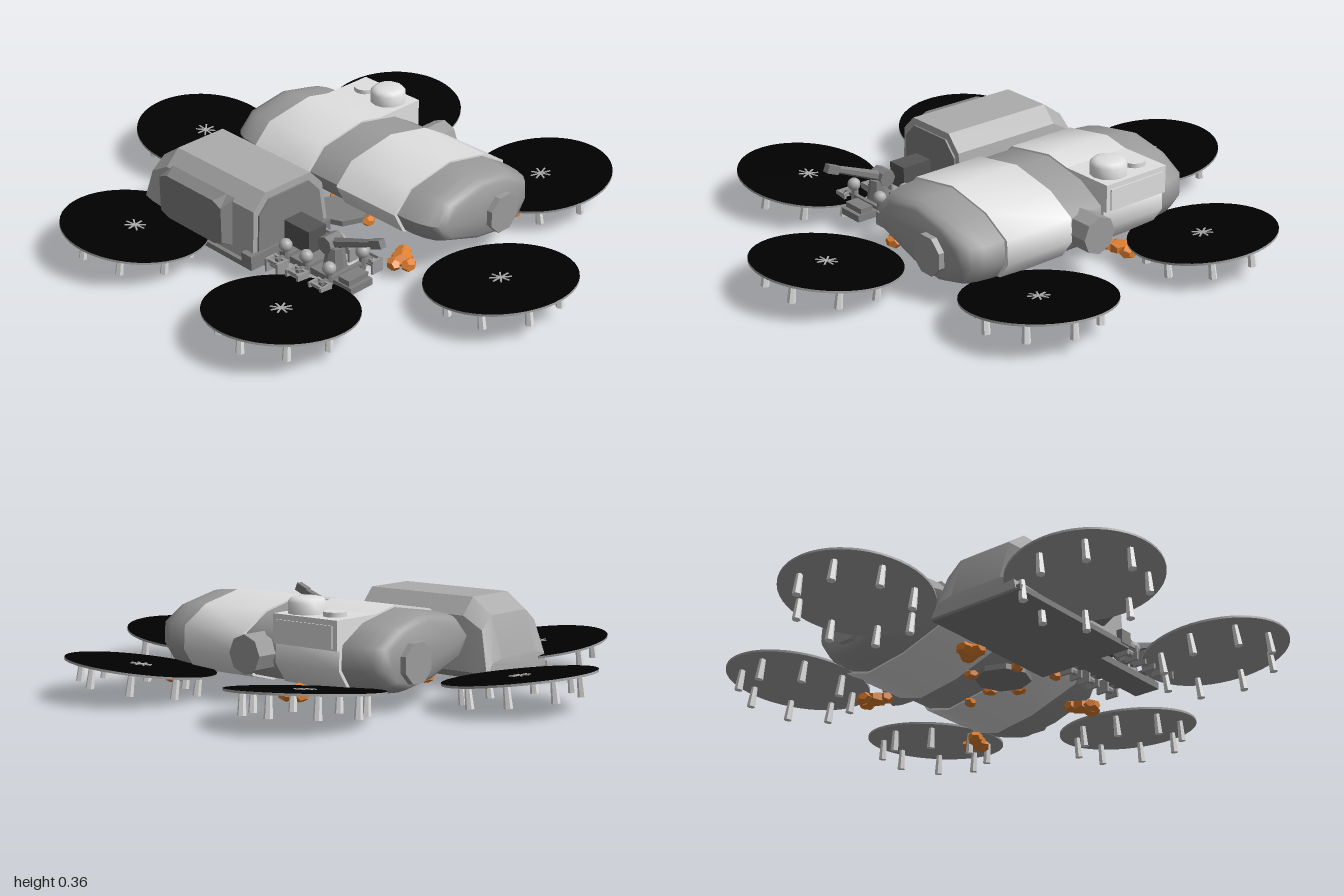
import * as THREE from 'three';
import { toCreasedNormals } from 'three/addons/utils/BufferGeometryUtils.js';

const mat = (name, color, flatShading = false) => {
  const m = new THREE.MeshStandardMaterial({ color, flatShading });
  m.name = name;
  return m;
};

// Joins rings of equal length (clockwise seen from +z, z rising) and closes both ends
function loft(rings, crease) {
  const n = rings[0].length, pos = [], index = [];
  rings.forEach(r => r.forEach(p => pos.push(...p)));
  for (let i = 0; i < rings.length - 1; i++)
    for (let j = 0; j < n; j++) {
      const a = i * n + j, b = i * n + (j + 1) % n, c = a + n, d = b + n;
      index.push(a, c, b, b, c, d);
    }
  const last = (rings.length - 1) * n;
  for (let j = 1; j < n - 1; j++) {
    index.push(0, j, j + 1);
    index.push(last, last + j + 1, last + j);
  }
  const g = new THREE.BufferGeometry();
  g.setAttribute('position', new THREE.Float32BufferAttribute(pos, 3));
  g.setIndex(index);
  return toCreasedNormals(g, crease);
}

export function createModel() {
  const model = new THREE.Group();
  const light = mat('light grey', 0xe0e0e0), body = mat('hull grey', 0x9c9c9c);
  const cabGrey = mat('cab grey', 0xacacac), panel = mat('panel grey', 0x808080);
  const dark = mat('dark grey', 0x555555), black = mat('black', 0x000000);
  const padGrey = mat('pad underside grey', 0xa4a4a4);
  const orange = mat('orange', 0xe08030, true);

  const add = (parent, name, geo, material, x = 0, y = 0, z = 0, rx = 0, ry = 0, rz = 0) => {
    const m = new THREE.Mesh(geo, material);
    m.name = name;
    m.position.set(x, y, z);
    m.rotation.set(rx, ry, rz);
    parent.add(m);
    return m;
  };
  const part = name => {
    const g = new THREE.Group();
    g.name = name;
    model.add(g);
    return g;
  };
  const box = (w, h, d) => new THREE.BoxGeometry(w, h, d);
  const cyl = (r1, r2, h, n) => toCreasedNormals(new THREE.CylinderGeometry(r1, r2, h, n), 0.5);

  // Hull: lopsided oval section, rounded at both ends
  const oval = [[-0.08, 0.23], [-0.01, 0.3], [0.175, 0.33], [0.34, 0.295], [0.44, 0.235],
    [0.445, 0.155], [0.4, 0.09], [0.305, 0.065], [0.15, 0.09], [-0.04, 0.155]];
  const ring = (s, z) => oval.map(([x, y]) => [0.185 + (x - 0.185) * s, 0.197 + (y - 0.197) * s, z]);
  const hull = part('hull');
  const steps = [[0.74, 0.505], [0.85, 0.495], [0.93, 0.47], [0.985, 0.43], [1.01, 0.38]];
  add(hull, 'tank', loft([
    ...steps.map(([s, z]) => ring(s, -z)),
    ...steps.reverse().map(([s, z]) => ring(s, z))], 1), body);
  for (const [a, b] of [[-0.355, -0.08], [0.065, 0.345]])
    add(hull, 'band', loft([ring(1.06, a), ring(1.06, b)], 1), light);
  for (const s of [-1, 1])
    add(hull, 'endHatch', cyl(0.073, 0.073, 0.04, 8), body, 0.262, 0.172, s * 0.507, Math.PI / 2, Math.PI / 8);
  add(hull, 'sidePort', cyl(0.068, 0.068, 0.13, 8), body, 0.46, 0.178, 0, 0, 0, Math.PI / 2);

  // Equipment box and dome on the hull's shoulder
  add(hull, 'shoulderBox', box(0.25, 0.1, 0.275), light, 0.345, 0.268, -0.2175);
  add(hull, 'sidePlate', box(0.006, 0.075, 0.24), light, 0.472, 0.262, -0.2175);
  const domeProfile = [[0.066, 0], [0.066, 0.045], [0.056, 0.058], [0.04, 0.063], [0, 0.063]];
  add(hull, 'dome', toCreasedNormals(new THREE.LatheGeometry(
    domeProfile.map(p => new THREE.Vector2(...p)), 12), 0.9), light, 0.39, 0.31, -0.16);
  add(hull, 'roundHatch', cyl(0.04, 0.04, 0.02, 14), light, 0.39, 0.324, -0.28);

  // Cab: chamfered box with a steep back
  const cab = part('cab');
  const shell = [[-0.48, 0.07], [-0.47, 0.275], [-0.415, 0.33], [-0.21, 0.33], [-0.155, 0.27], [-0.125, 0.07]];
  const slice = (h, z, s = 1) => shell.map(([x, y]) => [-0.31 + (x + 0.31) * s, 0.07 + (y - 0.07) * h, z]);
  add(cab, 'cabShell', loft([slice(0.22, -0.52), slice(0.78, -0.475), slice(1, -0.395), slice(1, 0.055)], 0.3), cabGrey);
  add(cab, 'frontPlate', loft([slice(0.9, 0.055, 0.88), slice(0.9, 0.062, 0.88)], 0.3), panel);
  add(cab, 'frontSill', box(0.37, 0.05, 0.05), panel, -0.315, 0.095, 0.045);
  add(cab, 'sideLocker', loft([[-0.37, 0.8], [-0.33, 1], [-0.09, 1], [-0.05, 0.8]].map(([z, s]) =>
    [[-0.525, 0.2 - 0.08 * s], [-0.525, 0.2 + 0.085 * s], [-0.46, 0.285], [-0.46, 0.1]].map(p => [...p, z])), 0.3), panel);
  add(cab, 'floor', box(0.37, 0.02, 0.58), panel, -0.31, 0.072, -0.225);
  add(cab, 'tongue', box(0.1, 0.025, 0.36), panel, -0.32, 0.08, 0.235);

  // Jointed arm on the tongue
  const arm = part('arm');
  add(arm, 'armHousing', box(0.08, 0.085, 0.12), dark, -0.32, 0.173, 0.145);
  add(arm, 'pedestal', cyl(0.03, 0.045, 0.1, 8), panel, -0.32, 0.135, 0.29);
  add(arm, 'shoulder', cyl(0.032, 0.032, 0.065, 8), panel, -0.32, 0.19, 0.27, 0, 0, Math.PI / 2);
  add(arm, 'boom', cyl(0.013, 0.02, 0.26, 6), panel, -0.32, 0.23, 0.37, 1.18);
  add(arm, 'boomTip', box(0.026, 0.03, 0.05), panel, -0.32, 0.275, 0.485, -0.39);
  add(arm, 'frontBlock', box(0.09, 0.025, 0.05), panel, -0.32, 0.1, 0.375);

  // Three axles with round knobs and spool wheels
  const gear = part('runningGear');
  for (const z of [0.13, 0.23, 0.34]) {
    add(gear, 'axle', box(0.24, 0.012, 0.015), panel, -0.32, 0.11, z);
    for (const s of [-1, 1]) {
      add(gear, 'knob', new THREE.SphereGeometry(0.024, 10, 8), cabGrey, -0.32 + s * 0.077, 0.152, z);
      add(gear, 'post', cyl(0.01, 0.014, 0.06, 6), panel, -0.32 + s * 0.077, 0.115, z);
      const x = -0.32 + s * 0.12;
      add(gear, 'spoolCore', cyl(0.012, 0.012, 0.06, 8), body, x, 0.09, z, Math.PI / 2);
      for (const t of [-1, 1]) {
        add(gear, 'spoolRim', box(0.05, 0.05, 0.009), body, x, 0.09, z + t * 0.027);
        add(gear, 'spoolBar', box(0.008, 0.012, 0.06), body, x + t * 0.017, 0.11, z);
      }
    }
  }

  // Six tilted discs, each standing on a ring of pegs
  const discGeo = new THREE.CylinderGeometry(0.259, 0.259, 0.008, 48);
  const pegGeo = cyl(0.011, 0.015, 0.076, 6);
  for (let i = 0; i < 6; i++) {
    const a = Math.PI / 6 + i * Math.PI / 3;
    const pad = part('discPad');
    pad.position.set(Math.cos(a) * 0.741, 0.117, -Math.sin(a) * 0.741);
    pad.rotation.set(0, a, 0.132);
    add(pad, 'disc', discGeo, [padGrey, black, padGrey]);
    for (let k = 0; k < 4; k++)
      add(pad, 'hubStar', box(0.075, 0.003, 0.006), cabGrey, 0, 0.005, 0, 0, k * Math.PI / 4);
    for (let k = 0; k < 8; k++) {
      const b = (k + 0.5) * Math.PI / 4;
      add(pad, 'peg', pegGeo, light, Math.cos(b) * 0.2, -0.042, Math.sin(b) * 0.2);
    }
  }

  // Underside hub and orange clamps
  const under = part('underside');
  add(under, 'centreHub', cyl(0.1, 0.1, 0.02, 8), panel, 0, 0.075, 0);
  const lump = new THREE.DodecahedronGeometry(0.036);
  for (const [x, z, turn] of [[0.455, -0.165, 0.5], [-0.065, -0.255, 2.4], [0.44, 0.37, 5.4], [-0.07, 0.36, 3.8]]) {
    const clamp = new THREE.Group();
    clamp.name = 'clamp';
    clamp.position.set(x, 0.062, z);
    clamp.rotation.y = turn;
    under.add(clamp);
    add(clamp, 'clampBody', lump, orange).scale.set(1.3, 0.75, 1.1);
    for (const s of [-1, 1])
      add(clamp, 'clampJaw', lump, orange, 0.036, -0.004, s * 0.026, 0, s * 0.5).scale.set(0.9, 0.65, 0.7);
    add(clamp, 'clampTail', lump, orange, -0.038, 0.002, 0).scale.set(0.8, 0.65, 0.8);
  }
  for (const [x, z] of [[0.1, 0.05], [0.02, 0.11], [-0.105, -0.05], [-0.16, 0.09], [0.22, 0.08], [0.06, -0.1]])
    add(under, 'smallClamp', lump, orange, x, 0.068, z, 0, x * 9).scale.set(0.8, 0.5, 0.6);

  return model;
}
